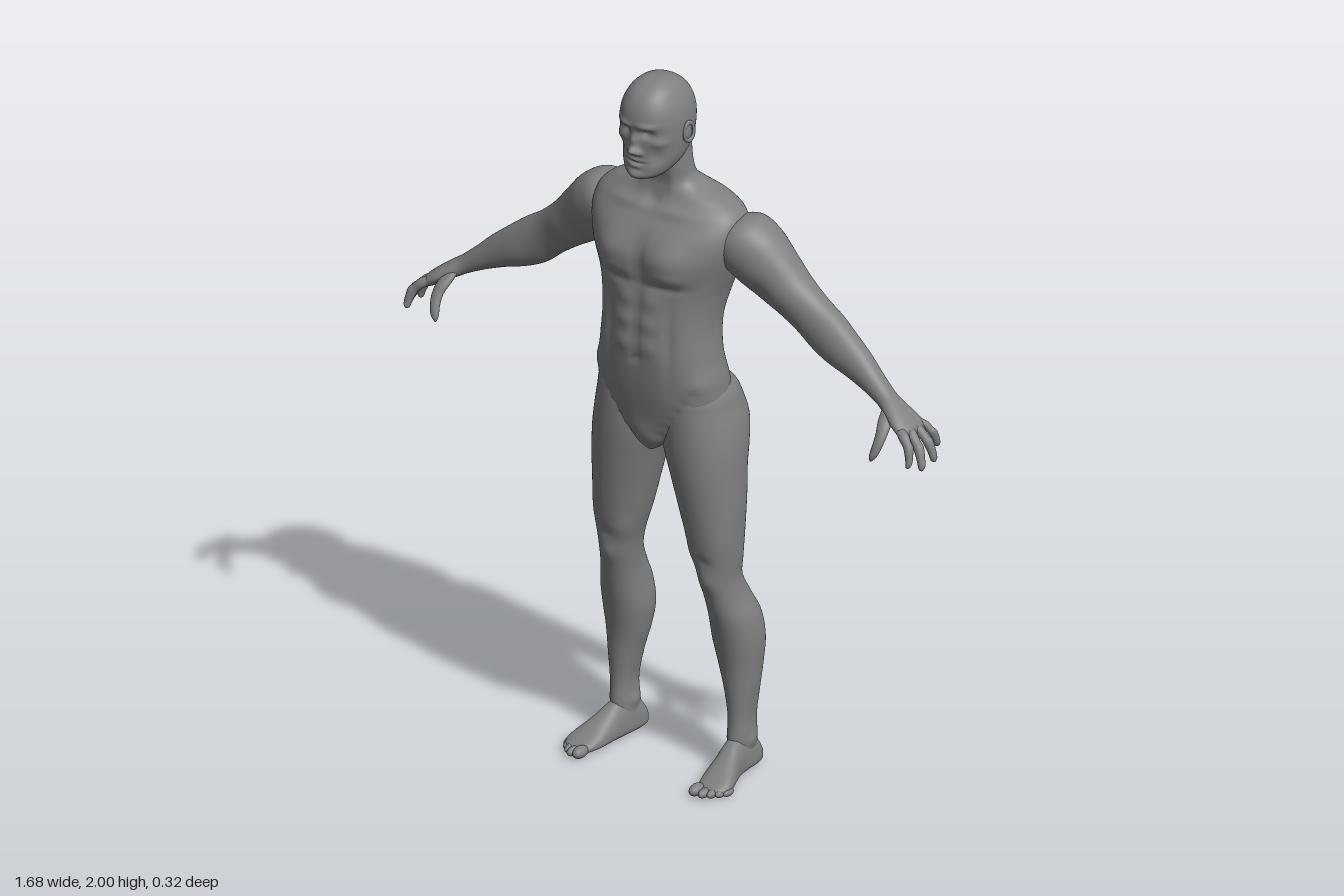
import * as THREE from 'three';

const X = new THREE.Vector3(1, 0, 0), Y = new THREE.Vector3(0, 1, 0), Z = new THREE.Vector3(0, 0, 1);
const clamp = THREE.MathUtils.clamp;

// Closed smooth skin over cross-sections [cx, cy, cz, radius along U, radius along +V, radius along -V].
function loft(keys, U, V, rings = 40, segs = 40, n = 2.2) {
  const pos = [], idx = [], last = keys.length - 1;
  const sample = t => {
    const i = Math.min(Math.floor(t * last), last - 1), f = t * last - i;
    const k = j => keys[clamp(j, 0, last)];
    return keys[i].map((_, c) => {
      const a = k(i - 1)[c], b = k(i)[c], d = k(i + 1)[c], e = k(i + 2)[c];
      return b + 0.5 * f * (d - a + f * (2 * a - 5 * b + 4 * d - e + f * (3 * (b - d) + e - a)));
    });
  };
  const power = v => Math.sign(v) * Math.abs(v) ** (2 / n);
  for (let r = 0; r <= rings; r++) {
    const [cx, cy, cz, ru, rf, rb] = sample(r / rings);
    for (let s = 0; s < segs; s++) {
      const a = s / segs * Math.PI * 2, u = Math.max(ru, 0.0005) * power(Math.cos(a));
      const v = Math.max(Math.sin(a) > 0 ? rf : rb, 0.0005) * power(Math.sin(a));
      pos.push(cx + U.x * u + V.x * v, cy + U.y * u + V.y * v, cz + U.z * u + V.z * v);
    }
  }
  const start = keys[0].slice(0, 3), end = keys[last].slice(0, 3);
  pos.push(...start, ...end);
  const dir = new THREE.Vector3(...end).sub(new THREE.Vector3(...start));
  const flip = new THREE.Vector3().crossVectors(U, V).dot(dir) < 0;
  const tri = (a, b, c) => flip ? idx.push(a, c, b) : idx.push(a, b, c);
  const c0 = (rings + 1) * segs, top = rings * segs;
  for (let s = 0; s < segs; s++) {
    const q = (s + 1) % segs;
    tri(c0, q, s);
    tri(c0 + 1, top + s, top + q);
    for (let r = 0; r < rings; r++) {
      const a = r * segs, b = a + segs;
      tri(a + s, a + q, b + s);
      tri(a + q, b + q, b + s);
    }
  }
  const g = new THREE.BufferGeometry();
  g.setAttribute('position', new THREE.Float32BufferAttribute(pos, 3));
  g.setIndex(idx);
  g.computeVertexNormals();
  return g;
}

// Horizontal sections given as [y, centre x, half width, front z, back z].
const upright = rows => rows.map(([y, cx, rx, f, b]) => [cx, y, (f + b) / 2, rx, (f - b) / 2, (f - b) / 2]);

// Push the skin along its normals with soft bumps [x, y, z, rx, ry, rz, height], alike on both sides.
function sculpt(g, bumps) {
  const p = g.attributes.position, nm = g.attributes.normal;
  for (let i = 0; i < p.count; i++) {
    const x = Math.abs(p.getX(i)), y = p.getY(i), z = p.getZ(i);
    let h = 0;
    for (const [bx, by, bz, rx, ry, rz, amp] of bumps)
      h += amp * Math.exp(-(((x - bx) / rx) ** 2) - ((y - by) / ry) ** 2 - ((z - bz) / rz) ** 2);
    p.setXYZ(i, p.getX(i) + nm.getX(i) * h, y + nm.getY(i) * h, z + nm.getZ(i) * h);
  }
  g.computeVertexNormals();
  return g;
}

function mirrored(g) {
  const m = g.clone().scale(-1, 1, 1), ix = m.index.array;
  for (let i = 0; i < ix.length; i += 3) [ix[i], ix[i + 1]] = [ix[i + 1], ix[i]];
  return m;
}

const ball = (x, y, z, rx, ry, rz) => new THREE.SphereGeometry(1, 20, 14).scale(rx, ry, rz).translate(x, y, z);

export function createModel() {
  const model = new THREE.Group();
  const skin = new THREE.MeshStandardMaterial({ color: 0x808080 });
  skin.name = 'grey skin';
  const add = (name, g) => {
    const m = new THREE.Mesh(g, skin);
    m.name = name;
    model.add(m);
  };
  const pair = (name, g) => {
    add('left' + name, g);
    add('right' + name, mirrored(g));
  };

  // Torso and neck, with chest, belly, shoulder blade and spine relief
  const torso = loft(upright([
    [0.93, 0, 0.012, 0.065, 0], [0.955, 0, 0.05, 0.085, -0.06], [1.0, 0, 0.115, 0.097, -0.1],
    [1.06, 0, 0.178, 0.108, -0.12], [1.13, 0, 0.184, 0.12, -0.125], [1.22, 0, 0.171, 0.128, -0.108],
    [1.31, 0, 0.165, 0.126, -0.115], [1.39, 0, 0.176, 0.12, -0.135], [1.45, 0, 0.194, 0.117, -0.148],
    [1.51, 0, 0.212, 0.118, -0.152], [1.57, 0, 0.226, 0.1, -0.155], [1.62, 0, 0.218, 0.066, -0.145],
    [1.655, 0, 0.175, 0.04, -0.125], [1.68, 0, 0.11, 0.032, -0.102], [1.705, 0, 0.077, 0.032, -0.08],
    [1.75, 0, 0.07, 0.042, -0.068], [1.82, 0, 0.066, 0.05, -0.066]
  ]), X, Z, 130, 96, 2.35);
  const torsoBumps = [
    [0.085, 1.505, 0.11, 0.065, 0.055, 0.06, 0.02], [0.09, 1.462, 0.12, 0.055, 0.02, 0.05, 0.008],
    [0, 1.5, 0.12, 0.012, 0.07, 0.05, -0.008], [0.08, 1.43, 0.12, 0.06, 0.012, 0.05, -0.006],
    [0, 1.31, 0.13, 0.008, 0.11, 0.04, -0.005], [0, 1.215, 0.13, 0.009, 0.009, 0.03, -0.008],
    [0.095, 1.28, 0.11, 0.014, 0.1, 0.04, -0.006], [0.075, 1.625, 0.06, 0.06, 0.012, 0.04, 0.005],
    [0, 1.645, 0.05, 0.014, 0.016, 0.04, -0.01], [0.045, 1.7, 0.02, 0.014, 0.05, 0.03, 0.004],
    [0.105, 1.55, -0.14, 0.05, 0.06, 0.05, 0.01], [0.15, 1.43, -0.1, 0.04, 0.08, 0.05, 0.008],
    [0, 1.38, -0.14, 0.016, 0.22, 0.05, -0.016], [0.045, 1.22, -0.11, 0.025, 0.1, 0.04, 0.008],
    [0.16, 1.15, 0.06, 0.03, 0.035, 0.06, 0.006], [0, 0.985, 0.09, 0.04, 0.035, 0.04, 0.005]
  ];
  for (const y of [1.385, 1.32, 1.255]) torsoBumps.push([0.038, y, 0.125, 0.026, 0.024, 0.04, 0.006]);
  for (let i = 0; i < 6; i++) torsoBumps.push([0.15 - i * 0.02, 1.13 - i * 0.028, 0.09, 0.015, 0.015, 0.05, -0.004]);
  add('torso', sculpt(torso, torsoBumps));

  // Head with brow, sockets, nose, lips, cheeks and chin
  const head = loft(upright([
    [2.0, 0, 0, 0.03, 0.028], [1.997, 0, 0.027, 0.06, 0], [1.985, 0, 0.05, 0.09, -0.03],
    [1.965, 0, 0.067, 0.114, -0.055], [1.935, 0, 0.081, 0.131, -0.074], [1.9, 0, 0.088, 0.137, -0.083],
    [1.865, 0, 0.089, 0.132, -0.081], [1.83, 0, 0.086, 0.129, -0.073], [1.795, 0, 0.08, 0.128, -0.052],
    [1.768, 0, 0.069, 0.13, -0.025], [1.748, 0, 0.054, 0.13, 0.005], [1.737, 0, 0.036, 0.12, 0.03],
    [1.735, 0, 0.01, 0.09, 0.06]
  ]), X, Z, 140, 128, 2.25);
  add('head', sculpt(head, [
    [0, 1.822, 0.135, 0.013, 0.013, 0.04, 0.026], [0, 1.85, 0.135, 0.011, 0.02, 0.04, 0.013],
    [0.015, 1.815, 0.13, 0.008, 0.008, 0.03, 0.009], [0.032, 1.893, 0.13, 0.028, 0.009, 0.04, 0.006],
    [0.034, 1.87, 0.12, 0.018, 0.012, 0.04, -0.013], [0, 1.793, 0.13, 0.02, 0.005, 0.03, 0.006],
    [0, 1.776, 0.13, 0.018, 0.006, 0.03, 0.007], [0, 1.785, 0.13, 0.024, 0.003, 0.03, -0.004],
    [0, 1.751, 0.13, 0.02, 0.011, 0.03, 0.009], [0.06, 1.845, 0.1, 0.018, 0.014, 0.04, 0.006],
    [0.055, 1.805, 0.1, 0.018, 0.02, 0.04, -0.005]
  ]));
  pair('Eye', ball(0.033, 1.87, 0.103, 0.013, 0.009, 0.012));
  pair('Ear', ball(0.088, 1.857, 0.02, 0.009, 0.03, 0.018));
  pair('EarRim', new THREE.TorusGeometry(0.016, 0.0045, 10, 28).rotateY(Math.PI / 2 - 0.25)
    .scale(1, 1.6, 1).translate(0.094, 1.857, 0.018));

  // Arms running down through the wrist into the palm
  const across = new THREE.Vector3(0.57, 0.82, 0);
  const arm = loft([
    [0.14, 1.575, -0.06, 0.03, 0.04, 0.04], [0.195, 1.56, -0.06, 0.078, 0.083, 0.08],
    [0.25, 1.525, -0.063, 0.087, 0.085, 0.085], [0.31, 1.472, -0.07, 0.078, 0.07, 0.072],
    [0.365, 1.425, -0.077, 0.066, 0.057, 0.058], [0.42, 1.382, -0.081, 0.062, 0.051, 0.051],
    [0.47, 1.346, -0.08, 0.065, 0.048, 0.049], [0.52, 1.316, -0.075, 0.059, 0.045, 0.045],
    [0.58, 1.285, -0.069, 0.046, 0.039, 0.039], [0.63, 1.255, -0.062, 0.034, 0.033, 0.034],
    [0.675, 1.227, -0.055, 0.026, 0.031, 0.031], [0.705, 1.209, -0.048, 0.024, 0.038, 0.037],
    [0.74, 1.187, -0.042, 0.021, 0.049, 0.049], [0.77, 1.165, -0.04, 0.018, 0.052, 0.054],
    [0.784, 1.153, -0.04, 0.008, 0.044, 0.046]
  ], across, Z, 90, 48, 2.1);
  pair('Arm', sculpt(arm, [
    [0.3, 1.44, -0.01, 0.03, 0.03, 0.04, -0.005], [0.37, 1.44, -0.03, 0.05, 0.04, 0.03, 0.005],
    [0.36, 1.41, -0.13, 0.05, 0.05, 0.03, 0.005], [0.44, 1.34, -0.13, 0.02, 0.02, 0.03, 0.005]
  ]));

  // Fingers: knuckle z, tip x, tip y, tip z, thickness
  const curl = new THREE.Vector3(0.85, 0.52, 0);
  [[0.002, 0.812, 1.092, 0.03, 0.0125], [-0.027, 0.834, 1.08, 0, 0.013],
    [-0.056, 0.832, 1.083, -0.058, 0.0125], [-0.083, 0.803, 1.1, -0.112, 0.011]].forEach(([kz, tx, ty, tz, r], i) => {
    const at = (f, bend, s) => [0.765 + (tx - 0.765) * f + bend, 1.17 + (ty - 1.17) * f + bend * 0.6,
      kz + (tz - kz) * f, r * s, r * s, r * s];
    pair('Finger' + (i + 1), loft([at(-0.1, 0, 0.8), at(0.1, 0.006, 1.15), at(0.35, 0.011, 1), at(0.5, 0.013, 1.08),
      at(0.75, 0.008, 0.9), at(0.93, 0.002, 0.75), at(1, 0, 0.2)], curl, Z, 24, 16, 2));
  });
  pair('Thumb', loft([
    [0.698, 1.215, -0.035, 0.014, 0.014, 0.014], [0.71, 1.185, -0.004, 0.019, 0.018, 0.02],
    [0.716, 1.158, 0.02, 0.016, 0.014, 0.016], [0.714, 1.13, 0.036, 0.014, 0.012, 0.013],
    [0.708, 1.105, 0.045, 0.011, 0.01, 0.01], [0.703, 1.09, 0.049, 0.003, 0.003, 0.003]
  ], X, Z, 24, 18, 2));

  // Legs from the buttocks to the ankle
  const leg = loft(upright([
    [1.15, 0.105, 0.05, 0.05, -0.09], [1.11, 0.105, 0.083, 0.085, -0.128], [1.06, 0.106, 0.095, 0.09, -0.15],
    [1.01, 0.109, 0.103, 0.09, -0.16], [0.95, 0.114, 0.106, 0.088, -0.148], [0.88, 0.125, 0.097, 0.082, -0.13],
    [0.8, 0.136, 0.087, 0.072, -0.12], [0.7, 0.147, 0.072, 0.058, -0.108], [0.63, 0.156, 0.059, 0.045, -0.098],
    [0.57, 0.16, 0.051, 0.034, -0.095], [0.51, 0.168, 0.053, 0.018, -0.122], [0.45, 0.175, 0.062, 0.002, -0.15],
    [0.38, 0.177, 0.066, -0.016, -0.16], [0.31, 0.181, 0.057, -0.03, -0.152], [0.24, 0.187, 0.044, -0.036, -0.14],
    [0.16, 0.19, 0.033, -0.04, -0.13], [0.1, 0.189, 0.032, -0.036, -0.135], [0.05, 0.187, 0.03, -0.04, -0.14]
  ]), X, Z, 120, 64, 2.15);
  pair('Leg', sculpt(leg, [
    [0.1, 1.01, -0.15, 0.06, 0.05, 0.05, 0.004], [0.16, 0.575, 0.03, 0.024, 0.03, 0.03, 0.007],
    [0.16, 0.635, 0.04, 0.02, 0.015, 0.03, -0.004], [0.115, 0.655, 0.02, 0.025, 0.04, 0.04, 0.006],
    [0.2, 0.7, 0.03, 0.03, 0.06, 0.04, 0.004], [0.16, 0.57, -0.1, 0.018, 0.04, 0.03, -0.006],
    [0.175, 0.38, -0.16, 0.009, 0.07, 0.03, -0.005], [0.157, 0.1, -0.085, 0.015, 0.016, 0.02, 0.006],
    [0.222, 0.09, -0.09, 0.015, 0.016, 0.02, 0.006], [0.19, 0.17, -0.085, 0.06, 0.05, 0.02, -0.004]
  ]));

  // Feet, heel to ball, turned slightly outward, then five toes
  pair('Foot', loft([
    [0.185, 0.025, -0.157, 0.01, 0.012, 0.012], [0.185, 0.025, -0.147, 0.027, 0.035, 0.023],
    [0.186, 0.025, -0.12, 0.034, 0.068, 0.025], [0.188, 0.025, -0.08, 0.034, 0.085, 0.025],
    [0.193, 0.025, -0.035, 0.035, 0.075, 0.025], [0.201, 0.023, 0.005, 0.041, 0.053, 0.023],
    [0.209, 0.02, 0.04, 0.047, 0.036, 0.02], [0.215, 0.017, 0.07, 0.047, 0.022, 0.017],
    [0.214, 0.015, 0.095, 0.036, 0.012, 0.013], [0.211, 0.015, 0.108, 0.015, 0.005, 0.006]
  ], X, Y, 50, 40, 2.3));
  [[0.188, 0.113, 0.0165], [0.212, 0.112, 0.0125], [0.23, 0.1, 0.0115], [0.245, 0.085, 0.011], [0.257, 0.068, 0.0105]]
    .forEach(([x, z, r], i) => pair('Toe' + (i + 1), ball(x, r, z, r, r, r * 1.2 + 0.008)));

  return model;
}
